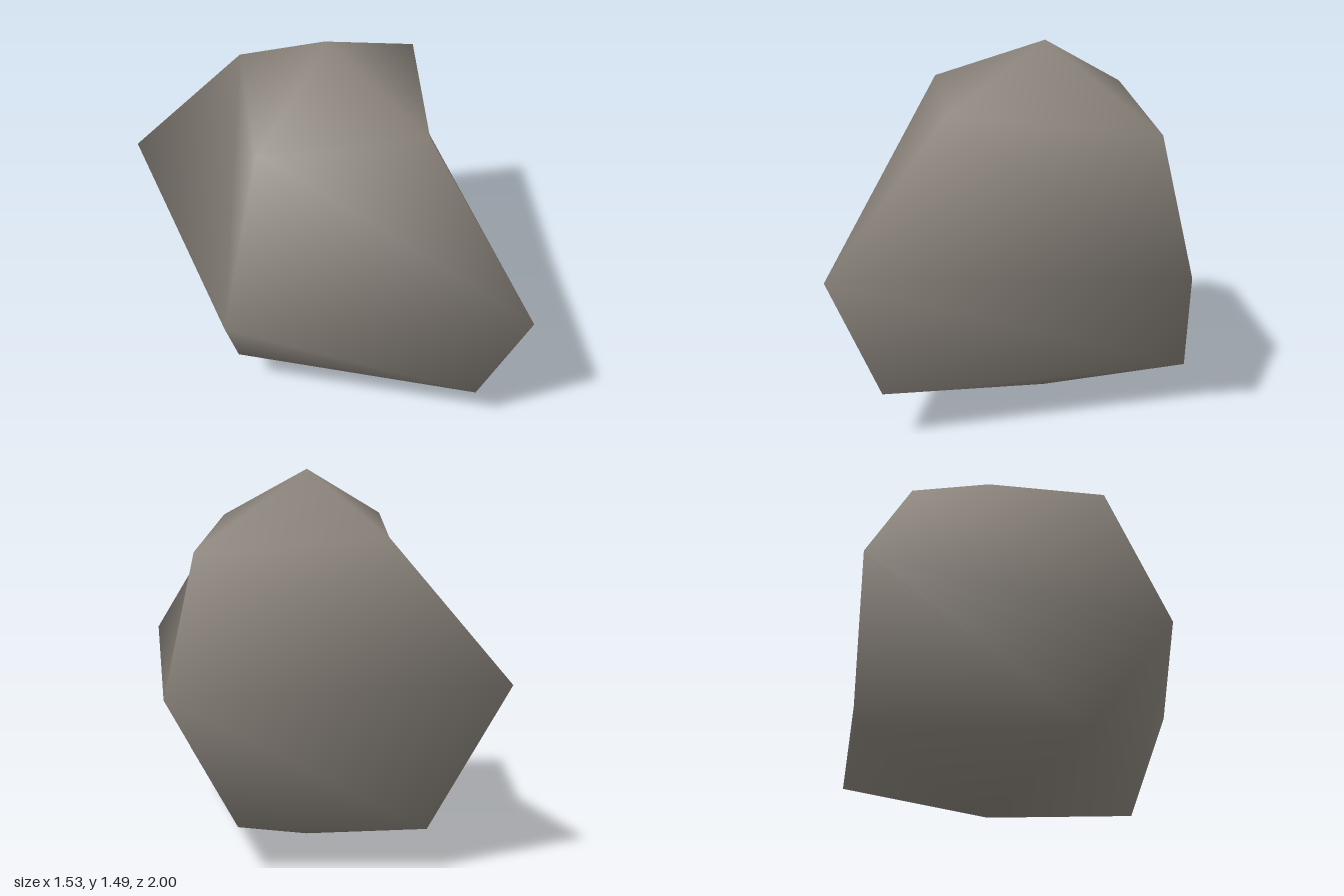
import * as THREE from 'three';

export function createModel() {
  const group = new THREE.Group();
  const stone = new THREE.MeshStandardMaterial({ color: 0x8c857d });
  stone.name = 'warm grey stone';

  // Rings from top to bottom; each runs -x, +z, +x, -z
  const rings = [
    [[0.02, 1.49, -0.1]],
    [[-0.5, 1.285, 0.02], [0.015, 1.28, 0.43], [0.61, 1.2, -0.13], [0.015, 1.25, -0.56]],
    [[-0.765, 0.65, 0.08], [-0.05, 0.73, 1], [0.765, 0.66, -0.14], [-0.2, 0.72, -1]],
    [[-0.505, 0.22, -0.12], [-0.035, 0.21, 0.75], [0.58, 0.185, -0.345], [0.03, 0.17, -0.79]],
    [[0.02, 0, -0.1]],
  ];

  // Coarse sphere pulled to the irregular rings, with normals pointing out from the core
  const geometry = new THREE.SphereGeometry(1, 4, 4);
  const position = geometry.attributes.position;
  const normal = geometry.attributes.normal;
  const core = new THREE.Vector3(0.02, 0.745, -0.1);
  const p = new THREE.Vector3();
  for (let i = 0; i < position.count; i++) {
    const ring = rings[Math.floor(i / 5)];
    p.fromArray(ring[(i % 5) % ring.length]);
    position.setXYZ(i, p.x, p.y, p.z);
    p.sub(core).normalize();
    normal.setXYZ(i, p.x, p.y, p.z);
  }

  const rock = new THREE.Mesh(geometry, stone);
  rock.name = 'rock';
  group.add(rock);
  return group;
}
